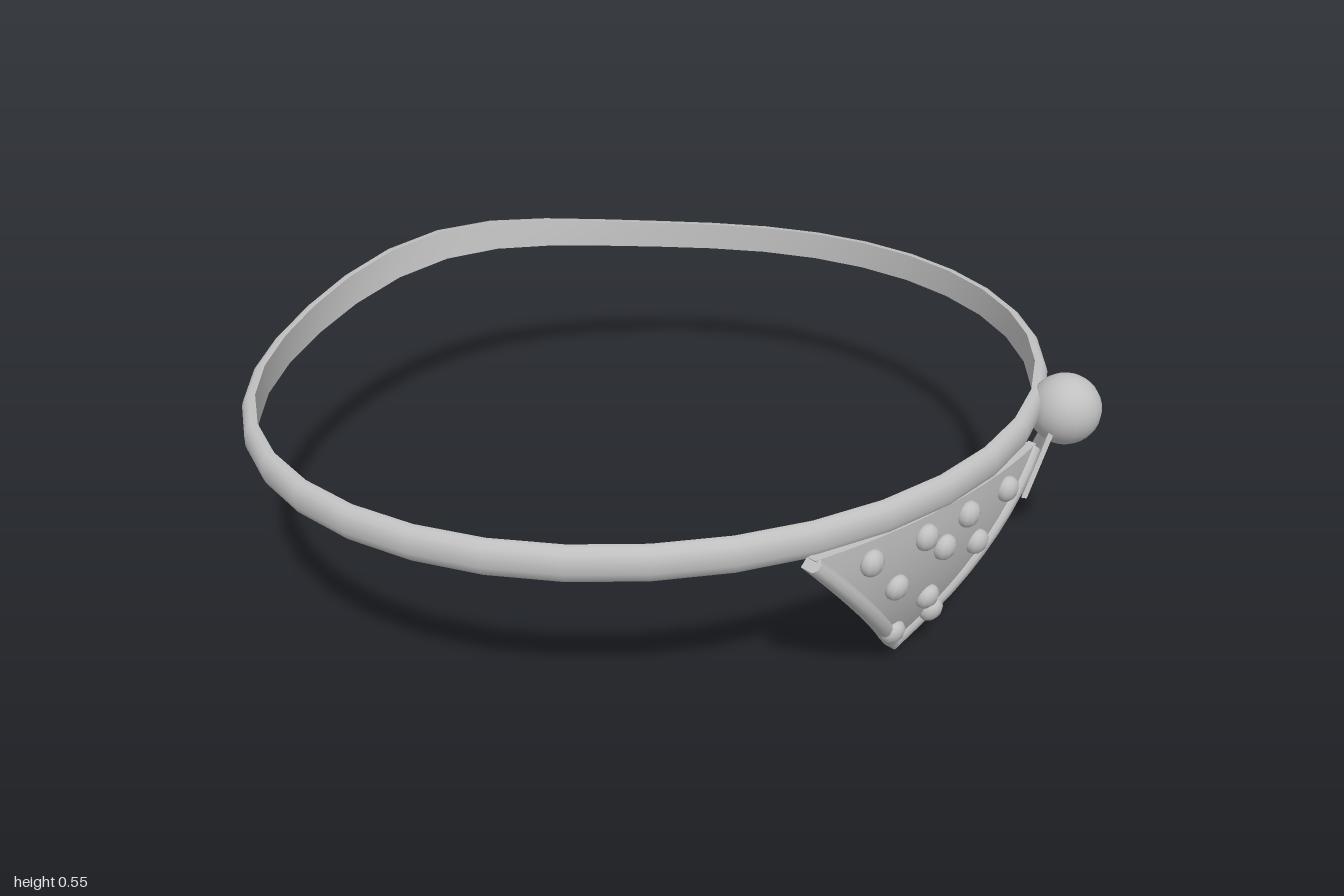
import * as THREE from 'three';
import { toCreasedNormals } from 'three/addons/utils/BufferGeometryUtils.js';

const grey = new THREE.MeshStandardMaterial({ color: 0xc0c0c0 });
grey.name = 'grey';

// Skin a list of equal-length point rings; open lofts get end caps
function loft(rings, closed, crease) {
  const n = rings[0].length, m = rings.length, index = [];
  const id = (i, j) => (i % m) * n + (j % n);
  for (let i = 0; i < (closed ? m : m - 1); i++) {
    for (let j = 0; j < n; j++) {
      const a = id(i, j), b = id(i + 1, j), c = id(i + 1, j + 1), d = id(i, j + 1);
      index.push(a, b, c, a, c, d);
    }
  }
  if (!closed) {
    for (let j = 1; j < n - 1; j++) {
      index.push(id(0, 0), id(0, j), id(0, j + 1));
      index.push(id(m - 1, 0), id(m - 1, j + 1), id(m - 1, j));
    }
  }
  const g = new THREE.BufferGeometry();
  g.setAttribute('position', new THREE.Float32BufferAttribute(rings.flat(2), 3));
  g.setIndex(index);
  return toCreasedNormals(g, crease);
}

// Depth of the curved cloth at a point of its front outline
const clothZ = (x, y) => 0.865 - 0.3 * x * x - 0.125 * ((0.4 - y) / 0.4) ** 2;

export function createModel() {
  const model = new THREE.Group();
  const add = (name, geometry, parent = model) => {
    const mesh = new THREE.Mesh(geometry, grey);
    mesh.name = name;
    parent.add(mesh);
    return mesh;
  };

  // Band: oval loop, flat inside and rounded outside, rising at the back
  const section = [[-0.032, -0.037], [-0.016, -0.037], [-0.006, -0.028], [0, -0.012],
    [0, 0.012], [-0.006, 0.028], [-0.016, 0.037], [-0.032, 0.037]];
  const bandRings = [];
  for (let i = 0; i < 36; i++) {
    const a = (i / 36) * Math.PI * 2, s = Math.sin(a), c = Math.cos(a);
    const lift = c < 0 ? 0.075 * c ** 8 : 0;
    bandRings.push(section.map(([o, u]) => {
      const out = o + u * lift * 4;
      return [s * (1 + out), 0.438 + u + lift, -0.018 + c * (0.897 + out)];
    }));
  }
  add('band', loft(bandRings, true, 0.9));

  // Kerchief: thin triangular cloth curling inward towards its tip
  const cloth = new THREE.BoxGeometry(1, 1, 1, 12, 12, 1);
  const p = cloth.attributes.position;
  for (let i = 0; i < p.count; i++) {
    const k = p.getY(i) + 0.5;
    const x = p.getX(i) * 0.73 * k, y = 0.02 + 0.395 * k;
    p.setXYZ(i, x, y, clothZ(x, y) + p.getZ(i) * 0.02);
  }
  cloth.computeVertexNormals();
  add('kerchief', cloth);

  // Trim: one raised V-shaped border, mitred at the tip
  const trimRings = [];
  for (let i = -10; i <= 10; i++) {
    const t = Math.abs(i) / 10, x = 0.365 * i / 10, y = 0.024 + 0.381 * t;
    const nx = -Math.sign(i) * 0.72, ny = i ? 0.69 : 1.4;
    trimRings.push([[-0.016, -0.016], [0.014, -0.016], [0.022, -0.007], [0.022, 0.007],
      [0.014, 0.016], [-0.016, 0.016]].map(([o, u]) =>
      [x + nx * u, y + ny * u, clothZ(x, y) + o]));
  }
  add('kerchiefTrim', loft(trimRings, false, 0.9));

  // Studs: flattened beads scattered over the cloth
  const studs = new THREE.Group();
  studs.name = 'studs';
  model.add(studs);
  const studGeometry = new THREE.SphereGeometry(0.03, 10, 8);
  const half = [[0.225, 0.365], [0.07, 0.368], [0.135, 0.268], [0.065, 0.1]];
  const spots = [[0, 0.315], [0, 0.178], ...half, ...half.map(([x, y]) => [-x, y])];
  for (const [x, y] of spots) {
    const stud = add('stud', studGeometry, studs);
    stud.scale.z = 0.75;
    stud.position.set(x, y, clothZ(x, y) + 0.015);
    stud.rotation.x = Math.atan(1.5625 * (0.4 - y));
  }

  // Knot: ball on the band with two ribbon tails
  add('knot', new THREE.SphereGeometry(0.083, 20, 14)).position.set(0.54, 0.428, 0.79);
  const tails = [['rightTail', [0.51, 0.79], [0.435, 0.778]], ['leftTail', [0.55, 0.76], [0.618, 0.672]]];
  for (const [name, top, bottom] of tails) {
    const g = new THREE.BoxGeometry(0.07, 0.175, 0.012);
    g.rotateY(0.54);
    const q = g.attributes.position;
    for (let i = 0; i < q.count; i++) {
      const end = q.getY(i) > 0 ? top : bottom;
      q.setXYZ(i, q.getX(i) + end[0], q.getY(i) + 0.3325, q.getZ(i) + end[1]);
    }
    add(name, toCreasedNormals(g, 0.5));
  }
  return model;
}
